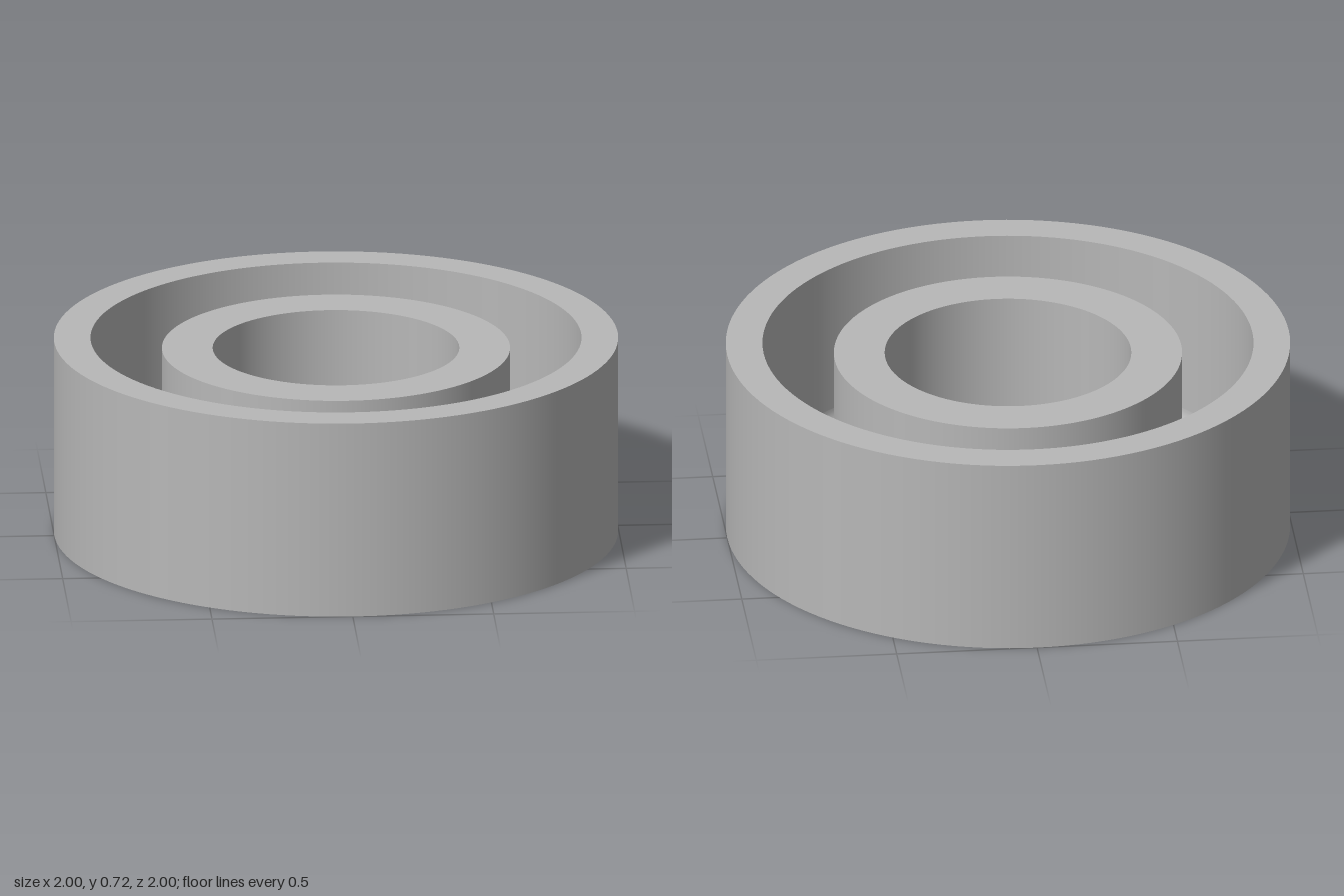
import * as THREE from 'three';

const R = { outer: 1, rim: 0.87, hub: 0.617, bore: 0.437 };
const H = { rim: 0.718, hub: 0.68, floor: 0.1 };
const FILLET = 0.065;

// Quarter-round profile between two angles
function arc(cx, cy, from, to, steps = 10) {
  return Array.from({ length: steps + 1 }, (_, i) => {
    const a = from + (to - from) * i / steps;
    return [cx + FILLET * Math.cos(a), cy + FILLET * Math.sin(a)];
  });
}

export function createModel() {
  const model = new THREE.Group();
  model.name = 'ringHousing';
  const grey = new THREE.MeshStandardMaterial({ color: 0xb8b8b8 });
  grey.name = 'plain grey';

  // Each surface is turned on its own so the edges between them stay sharp
  function turn(name, profile) {
    const points = profile.map(([x, y]) => new THREE.Vector2(x, y));
    const mesh = new THREE.Mesh(new THREE.LatheGeometry(points, 128), grey);
    mesh.name = name;
    model.add(mesh);
  }

  const bend = H.floor + FILLET;
  const rimFoot = R.rim - FILLET;
  const hubFoot = R.hub + FILLET;

  // Base and outer ring
  turn('underside', [[R.bore, 0], [R.outer, 0]]);
  turn('outerWall', [[R.outer, 0], [R.outer, H.rim]]);
  turn('rimTop', [[R.outer, H.rim], [R.rim, H.rim]]);

  // Channel with rounded corners at its floor
  turn('channelOuterWall', [[R.rim, H.rim], [R.rim, bend]]);
  turn('channelOuterFillet', arc(rimFoot, bend, 0, -Math.PI / 2));
  turn('channelFloor', [[rimFoot, H.floor], [hubFoot, H.floor]]);
  turn('channelInnerFillet', arc(hubFoot, bend, -Math.PI / 2, -Math.PI));

  // Central hub and bore
  turn('hubWall', [[R.hub, bend], [R.hub, H.hub]]);
  turn('hubTop', [[R.hub, H.hub], [R.bore, H.hub]]);
  turn('boreWall', [[R.bore, H.hub], [R.bore, 0]]);

  return model;
}
